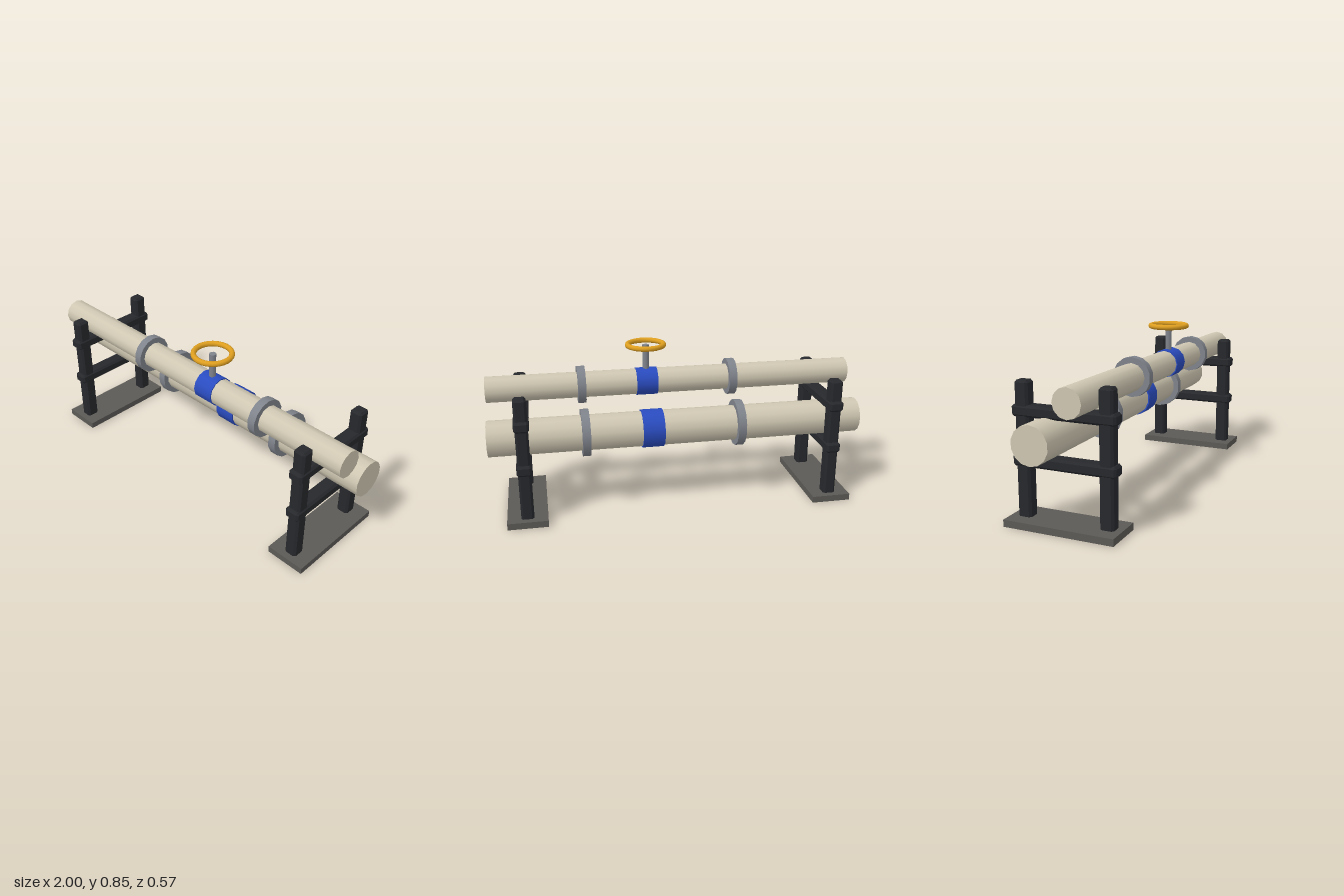
import * as THREE from 'three';
import { ConvexGeometry } from 'three/addons/geometries/ConvexGeometry.js';

const paint = (color) => new THREE.MeshStandardMaterial({ color });
const cream = paint(0xcfc7b2);
const steel = paint(0x80848c);
const blue = paint(0x2a4cc0);
const yellow = paint(0xe0a020);
const black = paint(0x26282c);
const plate = paint(0x5c5a56);

function addPart(parent, name, geometry, material, x, y, z) {
  const mesh = new THREE.Mesh(geometry, material);
  mesh.name = name;
  mesh.position.set(x, y, z);
  parent.add(mesh);
  return mesh;
}

// Box with all twelve edges cut at 45 degrees
function chamferedBox(w, h, d, c) {
  const points = [];
  for (const sx of [-0.5, 0.5]) for (const sy of [-0.5, 0.5]) for (const sz of [-0.5, 0.5]) {
    const corner = new THREE.Vector3(sx * w, sy * h, sz * d);
    const inset = new THREE.Vector3(sx, sy, sz).multiplyScalar(2 * c);
    for (const axis of ['x', 'y', 'z']) {
      const p = corner.clone().sub(inset);
      p[axis] = corner[axis];
      points.push(p);
    }
  }
  return new ConvexGeometry(points);
}

// Cylinder lying along x, with a vertex line at the top
function lyingCylinder(radius, length, sides) {
  return new THREE.CylinderGeometry(radius, radius, length, sides, 1, false, Math.PI / 2)
    .rotateZ(Math.PI / 2);
}

// Pipe with two flanges and a coloured band
function pipeRun(name, y, z, radius, sides, flangeRadius, bandRadius) {
  const run = new THREE.Group();
  run.name = name;
  run.position.set(0, y, z);
  addPart(run, 'pipe', lyingCylinder(radius, 2, sides), cream, 0, 0, 0);
  for (const x of [-0.327, 0.497])
    addPart(run, 'flange', lyingCylinder(flangeRadius, 0.043, 14), steel, x, 0, 0);
  addPart(run, 'band', lyingCylinder(bandRadius, 0.115, sides), blue, 0.143, 0, 0);
  return run;
}

// Base plate, two posts and two cross beams
function supportFrame(x) {
  const frame = new THREE.Group();
  frame.name = 'supportFrame';
  frame.position.x = x;
  addPart(frame, 'basePlate', new THREE.BoxGeometry(0.21, 0.035, 0.566), plate, 0, 0.0175, 0);
  for (const z of [-0.213, 0.213])
    addPart(frame, 'post', chamferedBox(0.066, 0.6835, 0.07, 0.011), black, 0, 0.34125, z);
  for (const y of [0.307, 0.542])
    addPart(frame, 'crossBeam', chamferedBox(0.077, 0.056, 0.528, 0.011), black, 0, y, 0);
  return frame;
}

export function createModel() {
  const model = new THREE.Group();
  model.name = 'pipeRack';

  for (const x of [-0.822, 0.822]) model.add(supportFrame(x));
  model.add(pipeRun('upperPipe', 0.635, 0.106, 0.071, 12, 0.101, 0.0765));
  model.add(pipeRun('lowerPipe', 0.43, -0.083, 0.0945, 14, 0.125, 0.102));

  // Valve on the upper pipe
  const valve = new THREE.Group();
  valve.name = 'valve';
  valve.position.set(0.143, 0, 0.106);
  addPart(valve, 'stem', new THREE.CylinderGeometry(0.018, 0.018, 0.148, 10), steel, 0, 0.764, 0);
  addPart(valve, 'handwheel', new THREE.TorusGeometry(0.097, 0.0145, 8, 24).rotateX(Math.PI / 2),
    yellow, 0, 0.838, 0);
  model.add(valve);
  return model;
}
